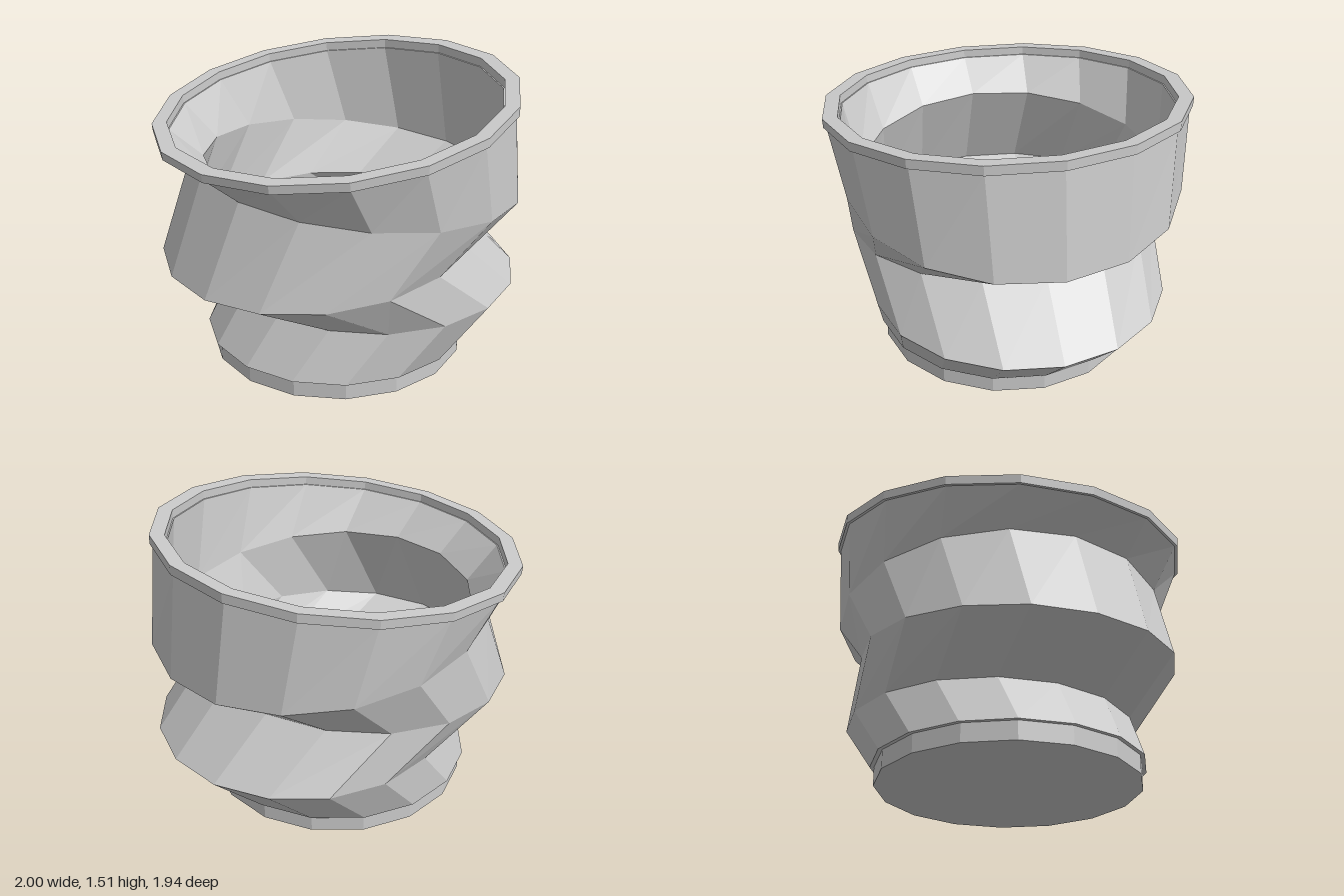
import * as THREE from 'three';

const SIDES = 16;
const material = new THREE.MeshStandardMaterial({ color: 0xcccccc, flatShading: true });

// A ring is round from above; its height runs straight from the left end to the right end.
const ring = (xa, ya, xb, yb) => ({
  cx: (xa + xb) / 2,
  cy: (ya + yb) / 2,
  r: (xb - xa) / 2,
  slope: (yb - ya) / (xb - xa),
});

const inset = (ring, t) => ({ ...ring, r: ring.r - t });

// Joins the rings in order and closes the last back to the first.
function loft(name, rings) {
  const points = rings.map(({ cx, cy, r, slope }) =>
    Array.from({ length: SIDES }, (_, j) => {
      const a = (j / SIDES) * Math.PI * 2;
      const dx = r * Math.cos(a);
      return [cx + dx, cy + slope * dx, r * Math.sin(a)];
    }));
  const positions = [];
  for (let i = 0; i < rings.length; i++) {
    const lower = points[i];
    const upper = points[(i + 1) % rings.length];
    for (let j = 0; j < SIDES; j++) {
      const k = (j + 1) % SIDES;
      positions.push(...lower[j], ...upper[j], ...lower[k]);
      positions.push(...lower[k], ...upper[j], ...upper[k]);
    }
  }
  const geometry = new THREE.BufferGeometry();
  geometry.setAttribute('position', new THREE.Float32BufferAttribute(positions, 3));
  geometry.computeVertexNormals();
  const mesh = new THREE.Mesh(geometry, material);
  mesh.name = name;
  return mesh;
}

export function createModel() {
  const model = new THREE.Group();
  model.name = 'zigzagPot';

  // Solid foot, whose top is also the floor of the pot
  const foot = new THREE.Mesh(new THREE.CylinderGeometry(0.705, 0.705, 0.1, SIDES), material);
  foot.name = 'foot';
  foot.position.set(-0.027, 0.05, 0);
  model.add(foot);

  // Hollow wall that zigzags from side to side while widening upwards
  const outer = [
    ring(-0.755, 0.1, 0.7, 0.1),
    ring(-0.58, 0.38, 0.995, 0.38),
    ring(-0.99, 0.58, 0.69, 0.715),
    ring(-0.8, 1.105, 0.985, 0.88),
    ring(-0.98, 1.243, 0.925, 1.459),
  ];
  const inner = outer.map((r) => inset(r, 0.068)).reverse();
  model.add(loft('wall', [...outer, ...inner]));

  // Slanted rim band
  const rimBottom = ring(-0.995, 1.24, 0.94, 1.458);
  const rimTop = ring(-1, 1.285, 0.94, 1.51);
  model.add(loft('rim', [rimBottom, rimTop, inset(rimTop, 0.078), inset(rimBottom, 0.076)]));

  return model;
}
